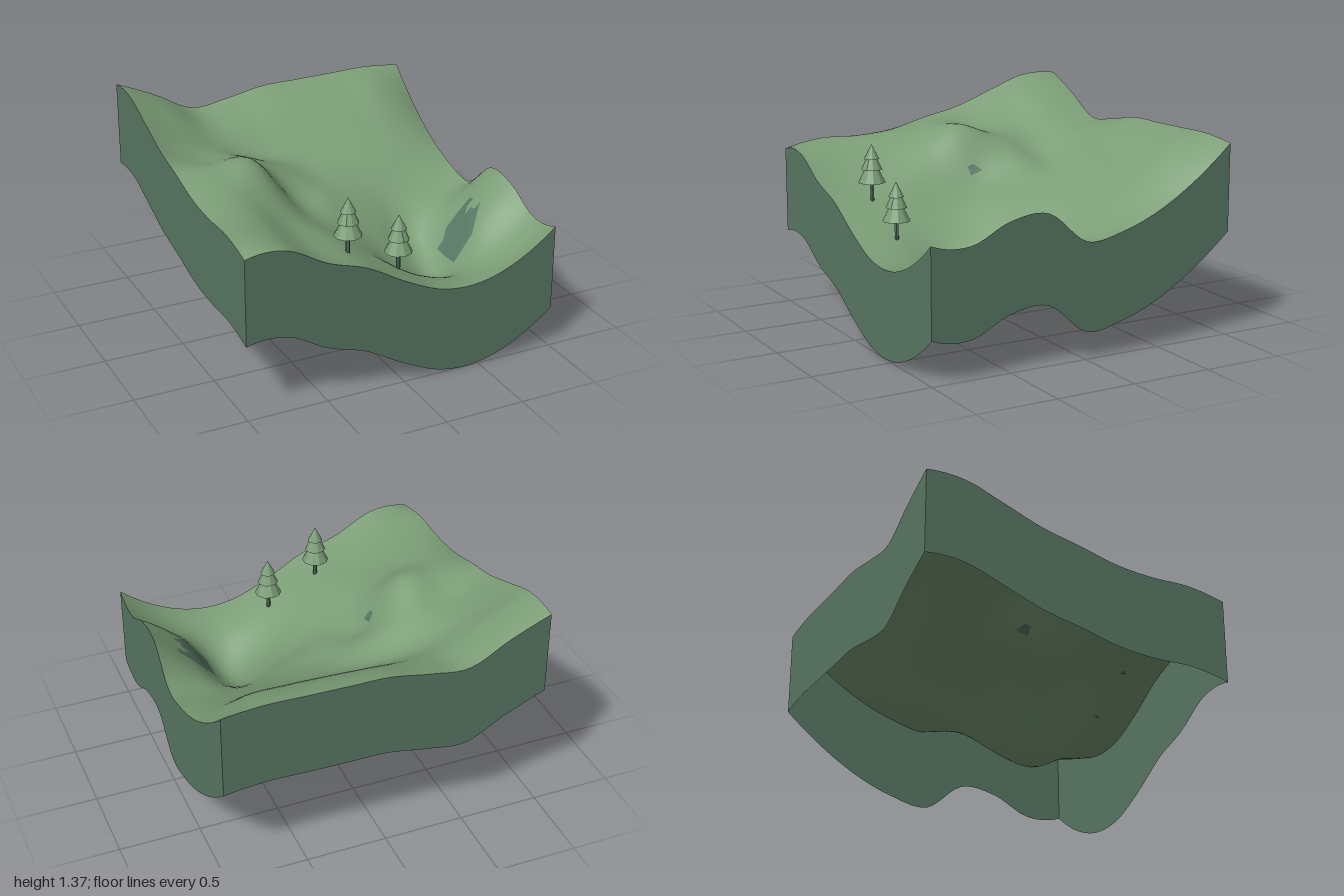
import * as THREE from 'three';

const mat = (name, color, extra = {}) => {
  const m = new THREE.MeshStandardMaterial({ color, ...extra });
  m.name = name;
  return m;
};

// Land heights every 0.25 units: rows run back to front, columns run -x to +x
const HEIGHTS = [
  [1.36, 1.25, 1.12, 1.145, 1.19, 1.195, 1.20, 1.205, 1.18],
  [1.36, 1.23, 1.09, 1.07, 1.09, 1.10, 1.105, 1.10, 0.98],
  [1.275, 1.13, 1.015, 0.93, 0.91, 0.915, 0.92, 0.905, 0.83],
  [1.185, 1.08, 1.06, 0.945, 0.835, 0.79, 0.76, 0.74, 0.735],
  [1.13, 1.125, 1.12, 0.835, 0.765, 0.675, 0.59, 0.63, 0.705],
  [1.07, 1.08, 0.99, 0.80, 0.675, 0.535, 0.425, 0.65, 0.895],
  [1.05, 1.04, 0.90, 0.80, 0.645, 0.455, 0.37, 0.68, 0.88],
  [1.055, 1.01, 0.87, 0.79, 0.66, 0.525, 0.48, 0.59, 0.77],
  [1.01, 1.015, 0.885, 0.80, 0.66, 0.555, 0.545, 0.63, 0.80],
];
const WALL = 0.535;
const SEG = 48;

// Smooth curve through evenly spaced values, t from -1 to 1
function spline(v, t) {
  const n = v.length - 1;
  const f = (t + 1) / 2 * n;
  const i = Math.max(0, Math.min(n - 1, Math.floor(f)));
  const u = f - i;
  const b = v[i], c = v[i + 1];
  const a = i > 0 ? v[i - 1] : 3 * b - 3 * c + v[i + 2];
  const d = i < n - 1 ? v[i + 2] : 3 * c - 3 * b + v[i - 1];
  return b + 0.5 * u * (c - a + u * (2 * a - 5 * b + 4 * c - d + u * (3 * (b - c) + d - a)));
}
const height = (x, z) => spline(HEIGHTS.map((row) => spline(row, x)), z);

// Bare rock shows on the two steepest slopes
const inEllipse = (x, z, cx, cz, rx, rz) => ((x - cx) / rx) ** 2 + ((z - cz) / rz) ** 2 < 1;
const onBank = (x, z) =>
  x > 0.583 && x < 0.834 && z > 0.29 && z < 0.543 &&
  x + z < 1.25 && z > 0.36 - 0.8 * (x - 0.58) && !inEllipse(x, z, 0.81, 0.37, 0.05, 0.035);
const isRock = (x, z) => onBank(x, z) || inEllipse(x, z, -0.31, 0.02, 0.032, 0.035);

function landGeometry() {
  const geo = new THREE.PlaneGeometry(2, 2, SEG, SEG).rotateX(-Math.PI / 2);
  const pos = geo.attributes.position;
  for (let i = 0; i < pos.count; i++) pos.setY(i, height(pos.getX(i), pos.getZ(i)));
  geo.computeVertexNormals();

  // Sort faces into grass and rock groups
  const grass = [], rock = [];
  const idx = geo.index.array;
  for (let i = 0; i < idx.length; i += 3) {
    const tri = [idx[i], idx[i + 1], idx[i + 2]];
    const mean = (get) => tri.reduce((s, k) => s + get(k), 0) / 3;
    const x = mean((k) => pos.getX(k)), z = mean((k) => pos.getZ(k));
    (isRock(x, z) ? rock : grass).push(...tri);
  }
  geo.setIndex([...grass, ...rock]);
  geo.addGroup(0, grass.length, 0);
  geo.addGroup(grass.length, rock.length, 1);
  return geo;
}

// A skirt of constant depth hanging from one edge of the land
function wallGeometry(edge) {
  const geo = new THREE.PlaneGeometry(2, 1, SEG, 1);
  const pos = geo.attributes.position;
  for (let i = 0; i < pos.count; i++) {
    const [x, z] = edge(pos.getX(i));
    pos.setXYZ(i, x, height(x, z) - (pos.getY(i) > 0 ? 0 : WALL), z);
  }
  geo.computeVertexNormals();
  return geo;
}

export function createModel() {
  const model = new THREE.Group();
  model.name = 'hillyLandscape';
  const grass = mat('grass green', 0x7c9e77, { side: THREE.DoubleSide });
  const rock = mat('rock green', 0x597864, { side: THREE.DoubleSide });
  const foliage = mat('foliage green', 0x7a9c76, { flatShading: true });
  const bark = mat('bark green', 0x547260, { flatShading: true });

  const add = (parent, name, geo, material) => {
    const mesh = new THREE.Mesh(geo, material);
    mesh.name = name;
    parent.add(mesh);
    return mesh;
  };

  // Land surface, hollow underneath
  add(model, 'land', landGeometry(), [grass, rock]);

  // Four side walls
  const edges = {
    frontWall: (t) => [t, 1],
    backWall: (t) => [-t, -1],
    leftWall: (t) => [1, -t],
    rightWall: (t) => [-1, t],
  };
  for (const [name, edge] of Object.entries(edges)) add(model, name, wallGeometry(edge), rock);

  // Fir trees: [x, z, ground height]; tiers: [radius, base, height]
  const tiers = [[0.085, 0.105, 0.16], [0.065, 0.185, 0.135], [0.047, 0.25, 0.09]];
  [[-0.25, 0.75, 0.795], [0.08, 0.75, 0.622]].forEach(([x, z, y]) => {
    const tree = new THREE.Group();
    tree.name = 'tree';
    tree.position.set(x, y, z);
    const trunk = add(tree, 'trunk', new THREE.CylinderGeometry(0.013, 0.013, 0.15, 6), bark);
    trunk.position.y = 0.065;
    for (const [r, base, h] of tiers) {
      const cone = add(tree, 'foliageTier', new THREE.ConeGeometry(r, h, 10), foliage);
      cone.position.y = base + h / 2;
    }
    model.add(tree);
  });
  return model;
}
